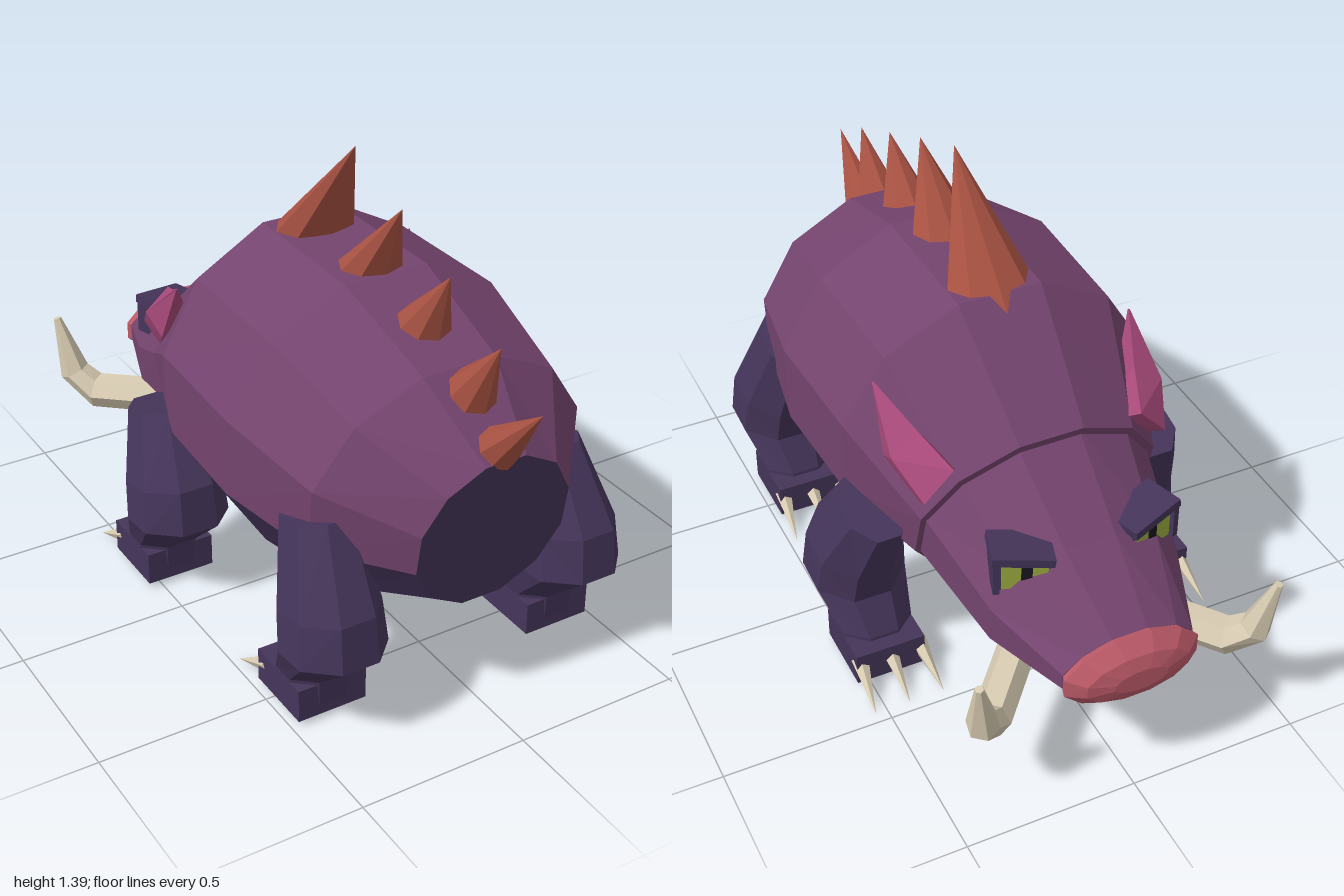
import * as THREE from 'three';

const mat = (name, color) => Object.assign(new THREE.MeshStandardMaterial({ color }), { name });
const V = (x, y, z) => new THREE.Vector3(x, y, z);

// Skin a list of rings with flat facets; from/to choose which segments around the ring are made
function loft(rings, { from = 0, to = rings[0].length, startCap = false, endCap = false } = {}) {
  const n = rings[0].length, pts = [];
  for (let i = 0; i < rings.length - 1; i++) {
    for (let k = from; k < to; k++) {
      const a = rings[i][k % n], b = rings[i][(k + 1) % n];
      const c = rings[i + 1][(k + 1) % n], d = rings[i + 1][k % n];
      pts.push(a, d, c, a, c, b);
    }
  }
  const cap = (r, flip) => {
    for (let k = 1; k < n - 1; k++) pts.push(...(flip ? [r[0], r[k + 1], r[k]] : [r[0], r[k], r[k + 1]]));
  };
  if (startCap) cap(rings[0], false);
  if (endCap) cap(rings[rings.length - 1], true);
  const g = new THREE.BufferGeometry().setFromPoints(pts);
  g.computeVertexNormals();
  return g;
}

// Twelve-sided upright ring that may lean: top and bottom have their own z
function bodyRing([zTop, zBot, yTop, yBot, r]) {
  return Array.from({ length: 12 }, (_, k) => {
    const a = Math.PI / 12 + (k * Math.PI) / 6, s = Math.sin(a) / Math.cos(Math.PI / 12);
    const t = (s + 1) / 2;
    return V(r * Math.cos(a), yBot + (yTop - yBot) * t, zBot + (zTop - zBot) * t);
  });
}

// Eight-sided level ring for the legs; tilt raises the back edge
function legRing([y, z, hz, x, hx, tilt = 0]) {
  return Array.from({ length: 8 }, (_, k) => {
    const a = Math.PI / 8 + (k * Math.PI) / 4, c = Math.cos(Math.PI / 8);
    const s = -Math.sin(a) / c;
    return V(x + (hx * Math.cos(a)) / c, y + tilt * s, z + hz * s);
  });
}

// Ring across a direction, for tusks
function tubeRing(p, dir, r, n = 6) {
  const d = dir.clone().normalize();
  const u = V(0, 1, 0).cross(d).normalize(), v = u.clone().cross(d);
  return Array.from({ length: n }, (_, k) => {
    const a = (k * 2 * Math.PI) / n;
    return p.clone().addScaledVector(u, r * Math.cos(a)).addScaledVector(v, r * Math.sin(a));
  });
}

// Mirror across x, keeping faces outward
function mirrored(geo) {
  const g = geo.index ? geo.toNonIndexed() : geo.clone();
  g.scale(-1, 1, 1);
  const p = g.attributes.position, a = V(), b = V();
  for (let i = 0; i < p.count; i += 3) {
    a.fromBufferAttribute(p, i + 1);
    b.fromBufferAttribute(p, i + 2);
    p.setXYZ(i + 1, b.x, b.y, b.z);
    p.setXYZ(i + 2, a.x, a.y, a.z);
  }
  g.computeVertexNormals();
  return g;
}

// Flat-faceted cone between two points
function spike(base, tip, r, sides) {
  const d = tip.clone().sub(base), h = d.length();
  const g = new THREE.ConeGeometry(r, h, sides).toNonIndexed();
  g.translate(0, h / 2, 0);
  g.applyQuaternion(new THREE.Quaternion().setFromUnitVectors(V(0, 1, 0), d.normalize()));
  g.translate(base.x, base.y, base.z);
  g.computeVertexNormals();
  return g;
}

export function createModel() {
  const purple = mat('purpleHide', 0x74446e), dark = mat('darkHide', 0x45355a);
  const pink = mat('earPink', 0xa84a7a), rose = mat('snoutRose', 0xbc5a68);
  const rust = mat('spineRust', 0xa85242), ivory = mat('ivory', 0xd8ccb2);
  const green = mat('eyeGreen', 0x9cac40), black = mat('pupilBlack', 0x19161e);

  const model = new THREE.Group();
  model.name = 'tuskedBeast';
  const add = (name, geo, m) => {
    const mesh = new THREE.Mesh(geo, m);
    mesh.name = name;
    model.add(mesh);
  };
  const addPair = (name, geo, m) => {
    add(name + 'Left', geo, m);
    add(name + 'Right', mirrored(geo), m);
  };

  // Barrel body: purple back, dark belly and dark rump plate
  const body = [
    [0.865, 0.785, 0.8, 0.34, 0.238], [0.65, 0.56, 0.97, 0.26, 0.435],
    [0.3, 0.24, 1.085, 0.215, 0.497], [-0.15, -0.08, 1.09, 0.225, 0.48],
    [-0.47, -0.3, 0.825, 0.265, 0.37],
  ].map(bodyRing);
  add('back', loft(body, { from: 11, to: 18, endCap: true }), purple);
  add('belly', loft(body, { from: 6, to: 11, startCap: true }), dark);

  // Head and snout
  add('head', loft([
    [-0.44, -0.27, 0.815, 0.27, 0.358], [-0.7, -0.66, 0.64, 0.235, 0.29], [-0.925, -0.925, 0.505, 0.325, 0.2],
  ].map(bodyRing), { endCap: true }), purple);
  add('snout', loft([
    [-0.9, -0.9, 0.495, 0.325, 0.19], [-0.945, -0.945, 0.515, 0.305, 0.205],
    [-0.985, -0.98, 0.48, 0.335, 0.155], [-1, -1, 0.44, 0.375, 0.08],
  ].map(bodyRing), { startCap: true, endCap: true }), rose);

  // Row of spines, each leaning back: [z, y, halfWidth, halfDepth, tipZ, tipY, slope]
  [
    [-0.09, 1.07, 0.13, 0.11, 0.14, 1.395, -0.2], [0.21, 1.07, 0.1, 0.085, 0.37, 1.3, 0.05],
    [0.475, 1.01, 0.08, 0.075, 0.595, 1.2, 0.33], [0.7, 0.92, 0.068, 0.065, 0.82, 1.1, 0.5],
    [0.82, 0.815, 0.063, 0.05, 1, 1, 0.75],
  ].forEach(([z, y, hx, hz, tz, ty, slope], i) => {
    const h = ty - y;
    const g = new THREE.ConeGeometry(1, h, 8).toNonIndexed();
    g.translate(0, h / 2, 0);
    const p = g.attributes.position;
    for (let k = 0; k < p.count; k++) {
      const t = p.getY(k) / h, dz = p.getZ(k) * hz;
      p.setXYZ(k, p.getX(k) * hx, y + t * h - dz * slope, z + dz + t * (tz - z));
    }
    g.computeVertexNormals();
    add('spine' + (i + 1), g, rust);
  });

  // Ears: leaf shape swept backward
  const earRings = [
    [V(0.35, 0.66, -0.38), V(0.365, 0.71, -0.45), V(0.28, 0.8, -0.455), V(0.24, 0.74, -0.38)],
    [V(0.4, 0.75, -0.26), V(0.41, 0.8, -0.34), V(0.33, 0.86, -0.32), V(0.31, 0.8, -0.26)],
    [V(0.39, 0.935, -0.175), V(0.392, 0.937, -0.177), V(0.388, 0.939, -0.177), V(0.386, 0.937, -0.175)],
  ].map((r) => r.reverse());
  addPair('ear', loft(earRings, { startCap: true, endCap: true }), pink);

  // Tusks: out and forward, then curling up
  const path = [V(0.19, 0.3, -0.66), V(0.36, 0.28, -0.85), V(0.41, 0.34, -0.905), V(0.44, 0.52, -0.945)];
  const tuskR = [0.055, 0.055, 0.047, 0.012];
  const dirs = path.map((p, i) => path[Math.min(i + 1, 3)].clone().sub(path[Math.max(i - 1, 0)]));
  addPair('tusk', loft(path.map((p, i) => tubeRing(p, dirs[i], tuskR[i])), { startCap: true, endCap: true }), ivory);

  // Eyes: dark socket, thin iris and pupil plates, slanted brow
  const eyeBox = (w, h, d, x, y, z, roll = 0) => new THREE.BoxGeometry(w, h, d)
    .rotateZ(roll).translate(x, y, z).rotateY(-0.3).translate(0.18, 0.605, -0.645);
  addPair('eyeSocket', eyeBox(0.155, 0.1, 0.1, 0, -0.005, 0), dark);
  addPair('iris', eyeBox(0.125, 0.085, 0.008, -0.005, -0.005, -0.053), green);
  addPair('pupil', eyeBox(0.03, 0.085, 0.006, -0.01, -0.005, -0.056), black);
  addPair('brow', eyeBox(0.17, 0.025, 0.12, 0, 0.045, -0.008, 0.14), dark);
  addPair('eyeCorner', eyeBox(0.018, 0.1, 0.118, 0.072, -0.005, -0.008), dark);

  // Legs, feet and claws: front pair, then the narrower rear pair
  [['front', 0, 0, 0], ['rear', 0.775, -0.06, 0.045]].forEach(([name, dz, dx, lift]) => {
    const rings = [
      [0.555 + lift, -0.23, 0.115, 0.425, 0.085, 0.03], [0.37, -0.13, 0.145, 0.445, 0.125, 0.03],
      [0.25, -0.11, 0.14, 0.445, 0.135, 0.015], [0.13, -0.215, 0.09, 0.435, 0.105], [0.05, -0.22, 0.09, 0.435, 0.1],
    ].map(([y, z, hz, x, hx, tilt]) => legRing([y, z + dz, hz, x + dx, hx, tilt]));
    addPair(name + 'Leg', loft(rings, { startCap: true, endCap: true }), dark);
    addPair(name + 'Foot', new THREE.BoxGeometry(0.21, 0.1, 0.22).translate(0.435 + dx, 0.07, -0.24 + dz), dark);
    [-1, 0, 1].forEach((s) => {
      const x = 0.43 + dx + s * 0.09;
      addPair(name + 'Claw' + (s + 2), spike(V(x, 0.08, -0.32 + dz), V(x + s * 0.015, 0.005, -0.47 + dz), 0.026, 5), ivory);
    });
  });
  return model;
}
